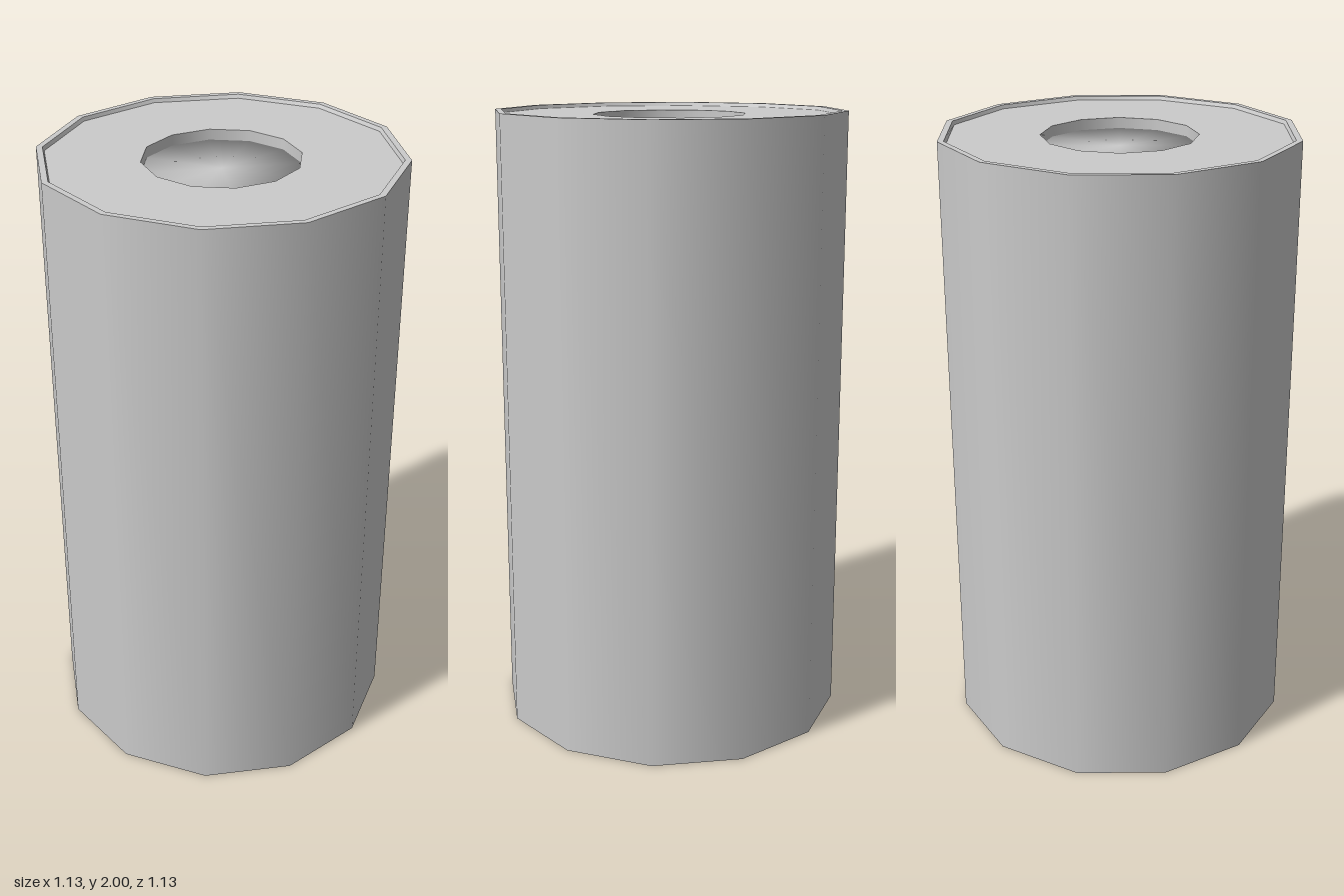
import * as THREE from 'three';
import { mergeVertices } from 'three/addons/utils/BufferGeometryUtils.js';

const SIDES = 12;
const R = 0.565, RIM = 0.545, LID = 0.54, HOLE = 0.245;
const TOP = 2, LID_Y = 1.988, CORE_Y = 1.954;

export function createModel() {
  const group = new THREE.Group();
  const material = new THREE.MeshStandardMaterial({ color: 0xcccccc, side: THREE.DoubleSide });

  const add = (name, geometry) => {
    const mesh = new THREE.Mesh(geometry, material);
    mesh.name = name;
    group.add(mesh);
    return mesh;
  };
  // One band of revolution between two (radius, height) points
  const band = (name, r0, y0, r1, y1) =>
    add(name, new THREE.LatheGeometry([new THREE.Vector2(r0, y0), new THREE.Vector2(r1, y1)], SIDES));
  const polygon = (r, turn) => Array.from({ length: SIDES }, (_, i) => {
    const a = (i / SIDES) * Math.PI * 2 + turn;
    return new THREE.Vector2(r * Math.cos(a), r * Math.sin(a));
  });

  // Outer wrapper: base, wall, thin rim and its inner step down to the lid
  band('base', 0, 0, R, 0);
  band('outerWall', R, 0, R, TOP);
  band('rim', R, TOP, RIM, TOP);
  band('rimStep', RIM, TOP, LID, LID_Y);

  // Lid with a hole turned half a side
  const shape = new THREE.Shape(polygon(LID, 0));
  shape.holes.push(new THREE.Path(polygon(HOLE, Math.PI / SIDES)));
  const lid = add('lid', new THREE.ShapeGeometry(shape).rotateX(-Math.PI / 2));
  lid.position.y = LID_Y;

  // Hole wall
  band('holeWall', HOLE, LID_Y, HOLE, CORE_Y).rotation.y = Math.PI / SIDES;

  // Sunken core, its cap shaded smoothly into its side
  const core = new THREE.CylinderGeometry(HOLE, HOLE, CORE_Y - 0.02, SIDES);
  core.deleteAttribute('normal');
  core.deleteAttribute('uv');
  const smoothCore = mergeVertices(core);
  smoothCore.computeVertexNormals();
  const coreMesh = add('core', smoothCore);
  coreMesh.position.y = (CORE_Y + 0.02) / 2;
  coreMesh.rotation.y = Math.PI / SIDES;

  return group;
}
